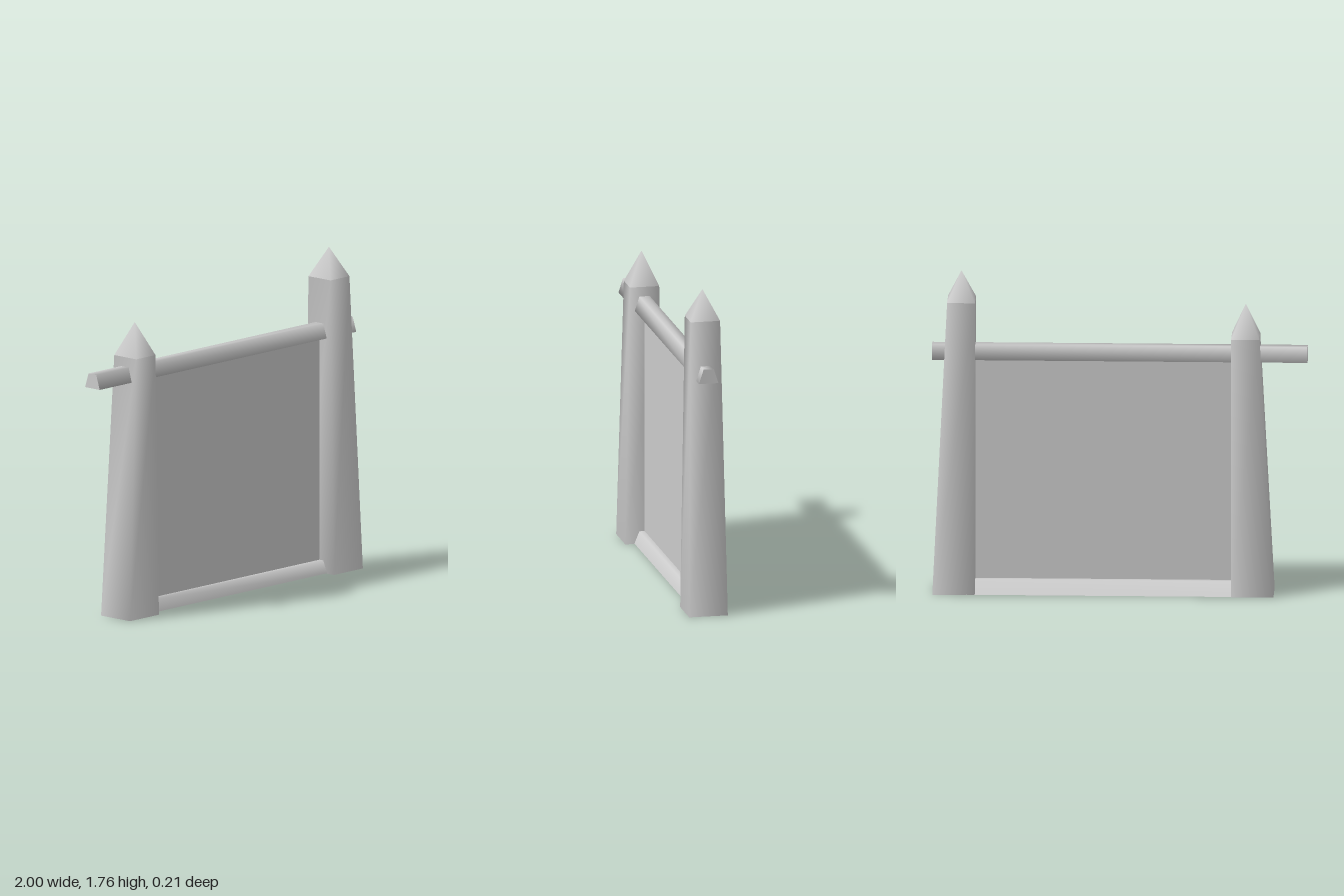
import * as THREE from 'three';

// Joins four-cornered rings into one smooth surface; each ring is four [x, y, z] corners.
// The first three corners' winding must be counter-clockwise seen from the end of the run.
function loft(rings) {
  const geometry = new THREE.BufferGeometry();
  const index = [];
  for (let r = 0; r < rings.length - 1; r++) {
    for (let i = 0; i < 4; i++) {
      const a = r * 4 + i, b = r * 4 + (i + 1) % 4;
      index.push(a, b, b + 4, a, b + 4, a + 4);
    }
  }
  geometry.setAttribute('position', new THREE.Float32BufferAttribute(rings.flat(2), 3));
  geometry.setIndex(index);
  geometry.computeVertexNormals();
  return geometry;
}

export function createModel() {
  const group = new THREE.Group();
  const wood = new THREE.MeshStandardMaterial({ color: 0xcccccc, side: THREE.DoubleSide });
  wood.name = 'pale grey';

  const add = (name, geometry) => {
    const mesh = new THREE.Mesh(geometry, wood);
    mesh.name = name;
    group.add(mesh);
  };

  // Tapered square posts, open underneath, with pointed tops
  const square = (x0, x1, y, z) => [[x0, y, z], [x1, y, z], [x1, y, -z], [x0, y, -z]];
  const addPost = (name, base, shoulder, shoulderY, tipX, tipY) => {
    const neck = square(...shoulder, shoulderY, 0.08);
    add(name, loft([square(...base, 0, 0.105), neck]));
    const tip = new THREE.BufferGeometry();
    tip.setAttribute('position', new THREE.Float32BufferAttribute([...neck, [tipX, tipY, 0]].flat(), 3));
    tip.setIndex([0, 1, 4, 1, 2, 4, 2, 3, 4, 3, 0, 4]);
    tip.computeVertexNormals();
    add(name + 'Point', tip);
  };
  addPost('rightPost', [-0.82, -0.594], [-0.744, -0.594], 1.41, -0.67, 1.59);
  addPost('leftPost', [0.77, 0.996], [0.77, 0.918], 1.6, 0.844, 1.76);

  // Top rail: a trapezoid beam running through both posts
  const section = (x, y0, y1, front, back) => [
    [x, y0, front], [x, y0, back], [x, y1, -0.028], [x, y1, 0.028],
  ];
  const topEnds = [-1, 1].map((x) => section(x, 1.28, 1.358, 0.053, -0.053));
  add('topRail', loft(topEnds));
  topEnds.forEach((ring, i) => {
    const cap = new THREE.BufferGeometry();
    cap.setAttribute('position', new THREE.Float32BufferAttribute(ring.flat(), 3));
    cap.setIndex(i ? [0, 1, 2, 0, 2, 3] : [0, 2, 1, 0, 3, 2]);
    cap.computeVertexNormals();
    add(i ? 'topRailLeftEnd' : 'topRailRightEnd', cap);
  });

  // Bottom rail: hollow underneath, with a wider slope at the back
  const rail = loft([-0.67, 0.85].map((x) => section(x, 0.002, 0.068, 0.055, -0.105)));
  rail.setIndex(Array.from(rail.index.array).slice(6));
  rail.computeVertexNormals();
  add('bottomRail', rail);

  // Thin sheet stretched between posts and rails
  const panel = new THREE.PlaneGeometry(1.364, 1.25);
  panel.translate(0.088, 0.675, 0);
  add('panel', panel);

  return group;
}
